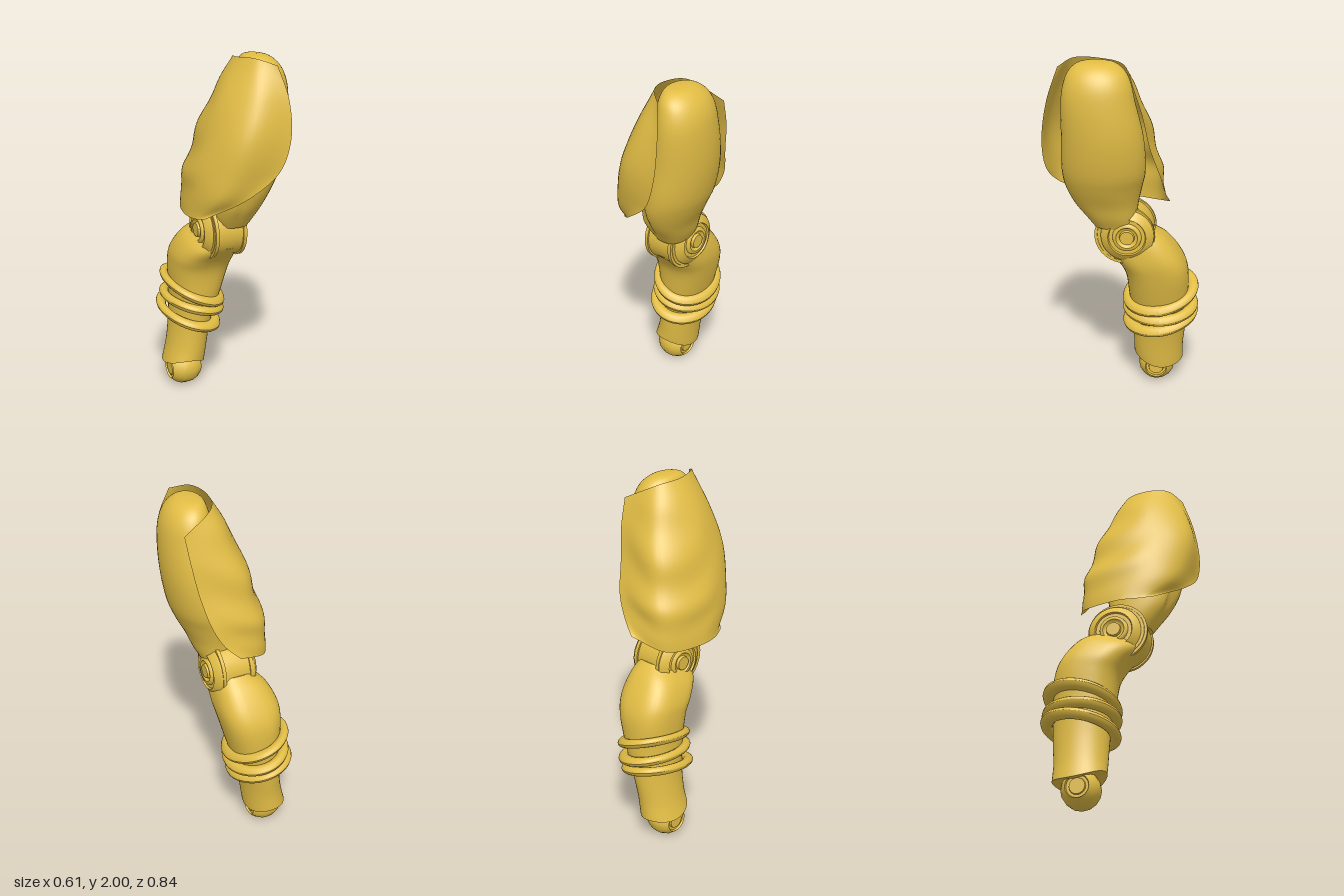
import * as THREE from 'three';

const V = (x, y, z) => new THREE.Vector3(x, y, z);
const gold = new THREE.MeshStandardMaterial({ color: 0xe2bd45 });
const goldSheet = new THREE.MeshStandardMaterial({ color: 0xe2bd45, side: THREE.DoubleSide });

function add(parent, name, geometry, material = gold) {
  const mesh = new THREE.Mesh(geometry, material);
  mesh.name = name;
  parent.add(mesh);
  return mesh;
}

// Smooths a stack of rows into more rows, column by column
function resample(rows, count) {
  const columns = rows[0].map((_, i) => new THREE.CatmullRomCurve3(rows.map(r => r[i])));
  return Array.from({ length: count + 1 }, (_, j) => columns.map(c => c.getPoint(j / count)));
}

// Skin over rows running from top to bottom; closed rows get end caps
function loft(rows, closed) {
  const n = rows[0].length, pos = [], idx = [];
  rows.forEach(r => r.forEach(p => pos.push(p.x, p.y, p.z)));
  for (let j = 0; j < rows.length - 1; j++) {
    for (let i = 0; i < (closed ? n : n - 1); i++) {
      const a = j * n + i, b = j * n + (i + 1) % n;
      idx.push(a, b, a + n, b, b + n, a + n);
    }
  }
  if (closed) [rows[0], rows[rows.length - 1]].forEach((ring, end) => {
    const start = pos.length / 3;
    const mid = ring.reduce((s, p) => s.add(p), V(0, 0, 0)).divideScalar(n);
    [...ring, mid].forEach(p => pos.push(p.x, p.y, p.z));
    for (let i = 0; i < n; i++) {
      const a = start + i, b = start + (i + 1) % n;
      if (end) idx.push(start + n, a, b); else idx.push(start + n, b, a);
    }
  });
  const g = new THREE.BufferGeometry();
  g.setAttribute('position', new THREE.Float32BufferAttribute(pos, 3));
  g.setIndex(idx);
  g.computeVertexNormals();
  return g;
}

// Oval ring given its front and back points (z, y), its x range and how square it is
function ring([zf, yf, zb, yb, x0, x1, power = 1]) {
  const shape = v => Math.sign(v) * Math.abs(v) ** power;
  return Array.from({ length: 40 }, (_, i) => {
    const a = i / 40 * Math.PI * 2, t = (1 - shape(Math.sin(a))) / 2;
    return V((x0 + x1) / 2 + shape(Math.cos(a)) * (x1 - x0) / 2, yf + (yb - yf) * t, zf + (zb - zf) * t);
  });
}

// Turned part with its axis along x; profile points are [radius, x]
function turned(profile, segments = 36) {
  const g = new THREE.LatheGeometry(profile.map(p => new THREE.Vector2(...p)), segments);
  return g.rotateZ(-Math.PI / 2);
}

export function createModel() {
  const model = new THREE.Group();
  model.name = 'armouredArm';

  // Upper arm: rounded shoulder narrowing to the elbow
  const upper = [
    [0.15, 2.0, 0.13, 2.0, 0.12, 0.14], [0.23, 1.99, 0.04, 1.99, 0.07, 0.2],
    [0.28, 1.95, -0.015, 1.95, 0.05, 0.25], [0.305, 1.89, -0.045, 1.89, 0.04, 0.283],
    [0.32, 1.8, -0.065, 1.8, 0.03, 0.3], [0.325, 1.6, -0.11, 1.6, -0.02, 0.3],
    [0.33, 1.4, -0.12, 1.4, -0.06, 0.265], [0.315, 1.3, -0.1, 1.3, -0.08, 0.225],
    [0.27, 1.2, -0.08, 1.2, -0.085, 0.175, 0.9], [0.21, 1.12, -0.07, 1.12, -0.08, 0.145, 0.85],
    [0.165, 1.06, -0.06, 1.06, -0.06, 0.115, 0.8],
  ].map(ring);
  const upperRows = resample(upper, 44);
  // Crease down the front between the muscles
  upperRows.forEach(row => row.forEach(p => {
    const crease = Math.exp(-(((p.x - 0.01) / 0.025) ** 2) - ((p.y - 1.24) / 0.1) ** 2);
    if (p.z > 0.1) p.z -= 0.025 * crease;
  }));
  add(model, 'upperArm', loft(upperRows, true));

  // Draped shoulder cape: each row runs from front edge round the outside to back edge
  const capeRows = [
    [V(0.16, 1.97, 0.335), V(0.07, 2.0, 0.26), V(0.03, 1.99, 0.13), V(0.07, 1.97, 0.005), V(0.25, 1.88, -0.065)],
    [V(0.2, 1.8, 0.39), V(0.02, 1.8, 0.35), V(-0.08, 1.8, 0.14), V(0.01, 1.8, -0.07), V(0.235, 1.73, -0.11)],
    [V(0.2, 1.6, 0.42), V(-0.05, 1.6, 0.385), V(-0.15, 1.6, 0.14), V(-0.06, 1.6, -0.13), V(0.205, 1.56, -0.145)],
    [V(0.14, 1.43, 0.415), V(-0.11, 1.41, 0.355), V(-0.205, 1.42, 0.12), V(-0.11, 1.42, -0.17), V(0.16, 1.39, -0.2)],
    [V(-0.02, 1.29, 0.37), V(-0.165, 1.28, 0.295), V(-0.225, 1.28, 0.1), V(-0.15, 1.28, -0.18), V(0.1, 1.28, -0.225)],
    [V(-0.2, 1.16, 0.22), V(-0.225, 1.145, 0.15), V(-0.235, 1.14, 0.03), V(-0.165, 1.14, -0.17), V(0.02, 1.2, -0.252)],
  ].map(r => new THREE.CatmullRomCurve3(r).getPoints(36));
  const cape = resample(capeRows, 60);
  // Sagging folds across the back of the cape, fading towards its edges
  cape.forEach((row, j) => row.forEach((p, i) => {
    const u = i / 36, v = j / 60;
    const fade = THREE.MathUtils.smoothstep(u, 0.4, 0.65) * (1 - THREE.MathUtils.smoothstep(u, 0.8, 1));
    const fold = 0.01 * fade * Math.sin(Math.PI * v) * Math.sin(20 * v + 40 * (u - 0.68) ** 2);
    p.add(V(p.x - 0.14, 0, p.z - 0.1).normalize().multiplyScalar(fold));
  }));
  add(model, 'shoulderCape', loft(cape, false), goldSheet);

  // Elbow hinge: core with two raised bands and a stepped disc on each side
  const elbow = new THREE.Group();
  elbow.name = 'elbowHinge';
  elbow.position.set(-0.01, 1.015, -0.02);
  model.add(elbow);
  const core = add(elbow, 'hingeCore', turned([[0, -0.095], [0.15, -0.095], [0.15, -0.095], [0.158, -0.085],
    [0.158, 0.085], [0.15, 0.095], [0.15, 0.095], [0, 0.095]]));
  core.position.z = 0.015;
  const discProfile = [[0.14, 0.08], [0.148, 0.09], [0.148, 0.09], [0.146, 0.105], [0.105, 0.13], [0.105, 0.13],
    [0.1, 0.12], [0.1, 0.12], [0.08, 0.12], [0.08, 0.12], [0.076, 0.134], [0.06, 0.134],
    [0.06, 0.134], [0.052, 0.122], [0.042, 0.122], [0.042, 0.122], [0.038, 0.138], [0.038, 0.138], [0, 0.138]];
  for (const side of [0, 1]) {
    const disc = add(elbow, side ? 'rightHingeDisc' : 'leftHingeDisc', turned(discProfile));
    disc.rotation.y = side * Math.PI;
    const band = add(elbow, 'hingeBand', turned([[0.15, -0.01], [0.167, -0.01], [0.167, -0.01],
      [0.167, 0.01], [0.167, 0.01], [0.15, 0.01]]));
    band.position.set(side ? -0.083 : 0.083, 0, 0.015);
  }

  // Forearm: bent, squarish elbow running down to a flared cuff
  const fore = [
    [0.13, 0.93, -0.17, 1.03, -0.13, 0.1, 0.8], [0.09, 0.885, -0.24, 0.97, -0.19, 0.11, 0.75],
    [0.035, 0.82, -0.32, 0.86, -0.23, 0.113, 0.75], [0, 0.75, -0.355, 0.77, -0.235, 0.1, 0.8],
    [-0.02, 0.6, -0.36, 0.6, -0.23, 0.06, 0.9], [-0.04, 0.4, -0.35, 0.4, -0.237, 0],
    [-0.045, 0.25, -0.335, 0.25, -0.258, -0.03], [-0.045, 0.19, -0.335, 0.15, -0.283, -0.045],
  ].map(ring);
  const foreRows = resample(fore, 36);
  // The cuff hem dips at the sides
  foreRows.forEach((row, j) => row.forEach(p => {
    const x = p.x + 0.165;
    p.y -= (2.5 * x * x + 0.1 * x) * THREE.MathUtils.smoothstep(j, 28, 36);
  }));
  add(model, 'forearm', loft(foreRows, true));

  // Three loose, tilted bracelets: centre x, y, then slopes along x and z
  [[-0.095, 0.605, -0.38, -0.17], [-0.1, 0.52, -0.26, -0.04], [-0.122, 0.445, -0.28, -0.16]].forEach(([x, y, sx, sz], i) => {
    const g = new THREE.TorusGeometry(0.154, 0.028, 12, 56).rotateX(Math.PI / 2);
    const p = g.attributes.position;
    for (let k = 0; k < p.count; k++) {
      const px = p.getX(k), pz = p.getZ(k) * 1.2;
      p.setXYZ(k, px, p.getY(k) + sx * px + sz * pz, pz);
    }
    g.computeVertexNormals();
    add(model, 'bracelet' + (i + 1), g).position.set(x, y, -0.2);
  });

  // Wrist knuckle with a ringed recess on each side
  const half = [[0.105, 0], [0.103, 0.03], [0.09, 0.06], [0.074, 0.08], [0.064, 0.09], [0.064, 0.09],
    [0.06, 0.078], [0.06, 0.078], [0.045, 0.078], [0.045, 0.078], [0.042, 0.087], [0.042, 0.087], [0, 0.087]];
  const knuckle = [...half].reverse().map(([r, x]) => [r, -x]).concat(half.slice(1));
  add(model, 'wristKnuckle', turned(knuckle, 16)).position.set(-0.165, 0.105, -0.18);

  return model;
}
